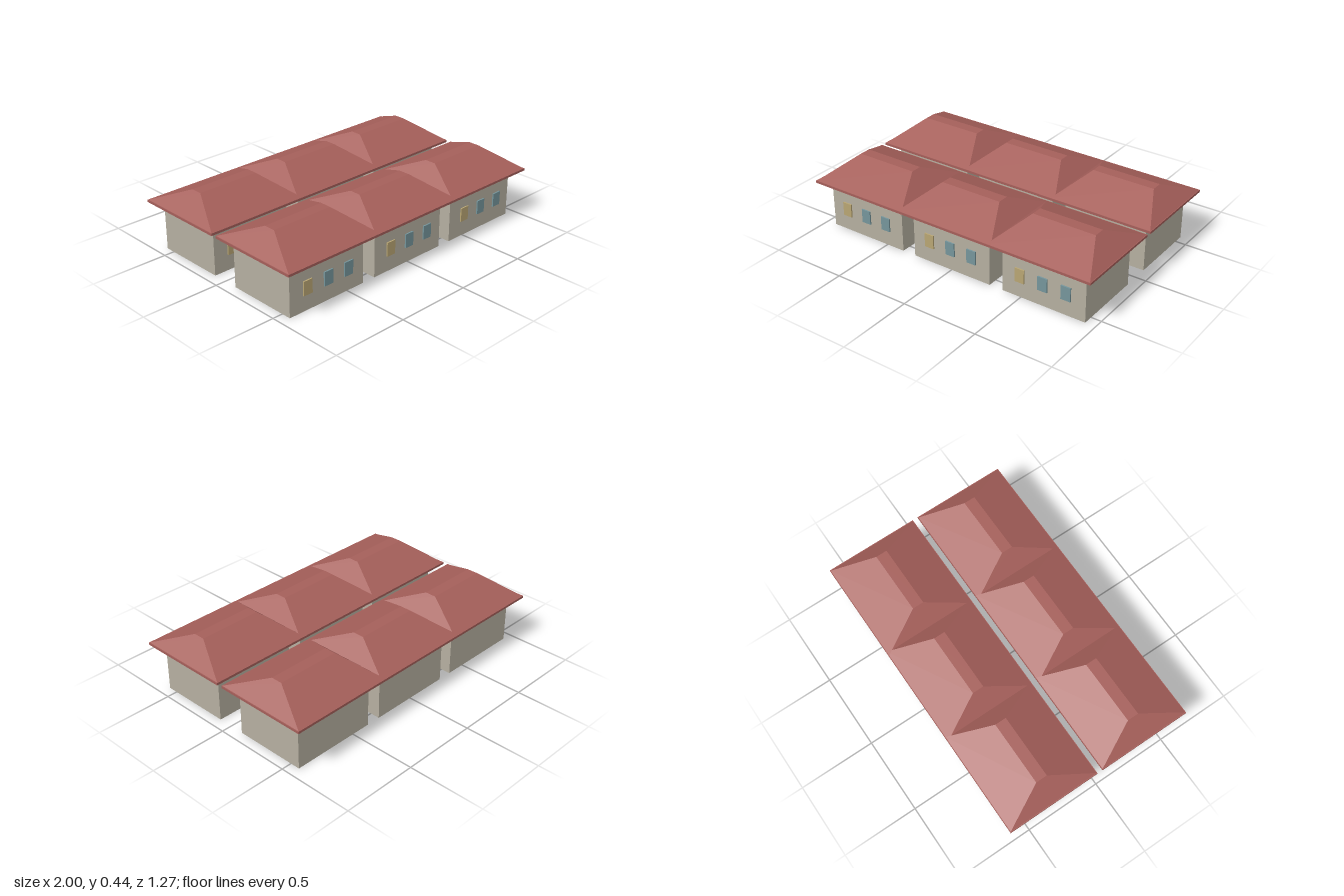
import * as THREE from 'three';

const PITCH_X = 0.653, ROW_Z = 0.328;

const wallMat = new THREE.MeshStandardMaterial({ color: 0xb5afa0 });
const roofMat = new THREE.MeshStandardMaterial({ color: 0xa55f5a });
const doorMat = new THREE.MeshStandardMaterial({ color: 0xb8a573 });
const glassMat = new THREE.MeshStandardMaterial({ color: 0x75959b });

// Box with its base at y
function block(name, w, h, d, x, y, z, material) {
  const mesh = new THREE.Mesh(new THREE.BoxGeometry(w, h, d), material);
  mesh.name = name;
  mesh.position.set(x, y + h / 2, z);
  return mesh;
}

// Hipped roof: a box whose top face is drawn in to a narrow flat ridge
function hipRoof(w, h, d, topW, topD, y) {
  const roof = block('hipRoof', w, h, d, 0, y, 0, roofMat);
  const pos = roof.geometry.attributes.position;
  for (let i = 0; i < pos.count; i++) {
    if (pos.getY(i) > 0) {
      pos.setX(i, Math.sign(pos.getX(i)) * topW / 2);
      pos.setZ(i, Math.sign(pos.getZ(i)) * topD / 2);
    }
  }
  roof.geometry.computeVertexNormals();
  return roof;
}

function house() {
  const g = new THREE.Group();
  g.add(block('walls', 0.56, 0.303, 0.47, 0, 0, 0, wallMat));
  g.add(block('eaves', 0.694, 0.015, 0.619, 0, 0.31, 0, roofMat));
  g.add(hipRoof(0.684, 0.116, 0.612, 0.418, 0.074, 0.325));

  // Front openings: one warm panel and two blue windows
  [-0.155, 0, 0.155].forEach((x, i) => {
    g.add(block(i === 0 ? 'warmWindow' : 'blueWindow', 0.064, 0.09, 0.009,
      x, 0.106, 0.2455, i === 0 ? doorMat : glassMat));
  });
  return g;
}

export function createModel() {
  const model = new THREE.Group();
  model.name = 'terracedHouses';
  // Two rows of three houses, all facing the front
  for (const [row, z] of [['front', ROW_Z], ['back', -ROW_Z]]) {
    for (let i = -1; i <= 1; i++) {
      const h = house();
      h.name = `${row}House${i + 2}`;
      h.position.set(i * PITCH_X, 0, z);
      model.add(h);
    }
  }
  return model;
}
